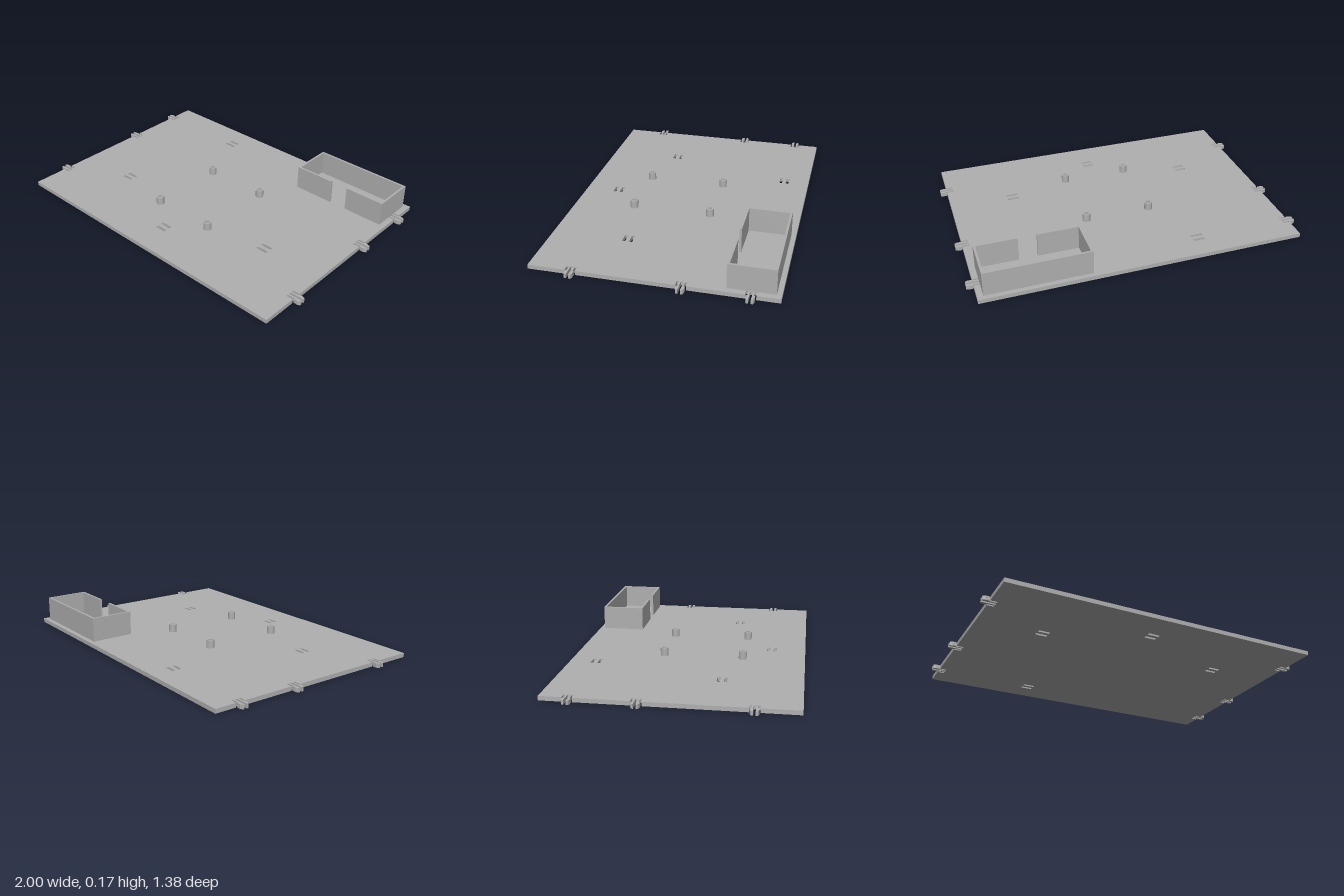
import * as THREE from 'three';

const T = 0.025; // plate thickness
const CLIP_Z = [-0.533, -0.165, 0.447];

const loop = (points) => points.map(([x, z]) => new THREE.Vector2(x, -z));

// Extrude a floor-plan shape (x, -z) upward from height y
function slab(shape, height, y = 0) {
  return new THREE.ExtrudeGeometry(shape, { depth: height, bevelEnabled: false, curveSegments: 8 })
    .rotateX(-Math.PI / 2).translate(0, y, 0);
}

// Round-cornered slot outline centred on (x, z)
function slotPath(x, z, hw = 0.035, hh = 0.009, r = 0.005) {
  const p = new THREE.Path(), y = -z;
  p.moveTo(x - hw + r, y - hh);
  p.lineTo(x + hw - r, y - hh);
  p.absarc(x + hw - r, y - hh + r, r, -Math.PI / 2, 0);
  p.absarc(x + hw - r, y + hh - r, r, 0, Math.PI / 2);
  p.absarc(x - hw + r, y + hh - r, r, Math.PI / 2, Math.PI);
  p.absarc(x - hw + r, y - hh + r, r, Math.PI, Math.PI * 1.5);
  p.closePath();
  return p;
}

export function createModel() {
  const model = new THREE.Group();
  model.name = 'mountingPlate';
  const grey = new THREE.MeshStandardMaterial({ color: 0xb0b0b0 });
  grey.name = 'grey plastic';

  const add = (name, geometry, parent = model) => {
    const mesh = new THREE.Mesh(geometry, grey);
    mesh.name = name;
    parent.add(mesh);
    return mesh;
  };

  // Base plate with clip notches along both sides
  const W = 0.96, D = 0.69, IN = 0.92, N = 0.029;
  const notches = (s, zs) => zs.flatMap((z) => {
    const d = s * N;
    return [[s * W, z + d], [s * IN, z + d], [s * IN, z - d], [s * W, z - d]];
  });
  const plate = new THREE.Shape(loop([
    [-W, D], [W, D], ...notches(1, [...CLIP_Z].reverse()),
    [W, -D], [-W, -D], ...notches(-1, CLIP_Z),
  ]));
  // Pairs of tie slots
  for (const [x, z] of [[-0.367, -0.533], [-0.572, 0.24], [0.57, 0.24], [0, 0.485]]) {
    for (const s of [-1, 1]) plate.holes.push(slotPath(x, z + s * 0.0205));
  }
  add('basePlate', slab(plate, T));

  // Snap clips: two hooked arms in every notch
  for (const sx of [-1, 1]) {
    for (const z of CLIP_Z) {
      const clip = new THREE.Group();
      clip.name = sx > 0 ? 'leftClip' : 'rightClip';
      model.add(clip);
      for (const sz of [-1, 1]) {
        const arm = [[0.915, 0.007], [1, 0.007], [1, 0.018], [0.985, 0.024],
          [0.962, 0.024], [0.962, 0.017], [0.915, 0.017]];
        const outline = arm.map(([x, dz]) => [sx * x, z + sz * dz]);
        add('clipArm', slab(new THREE.Shape(loop(outline)), T), clip);
      }
    }
  }

  // Hollow mounting posts
  const R = 0.024, r = 0.013, top = 0.074;
  const profile = [[R, T], [R, top], [R, top], [r, top], [r, top], [r, T]]
    .map(([x, y]) => new THREE.Vector2(x, y));
  for (const x of [-0.2, 0.2]) {
    for (const z of [-0.155, 0.32]) {
      const post = add('post', new THREE.LatheGeometry(profile.slice().reverse(), 24));
      post.position.set(x, 0, z);
      post.geometry.dispose();
      const ring = new THREE.Shape().absarc(0, 0, R, 0, Math.PI * 2);
      ring.holes.push(new THREE.Path().absarc(0, 0, r, 0, Math.PI * 2));
      post.geometry = slab(ring, top - T, T);
    }
  }

  // Open-topped bay with a gap in its front wall
  const x0 = 0.31, x1 = 0.925, z0 = -0.662, z1 = -0.4, t = 0.013, g0 = 0.565, g1 = 0.675;
  const bay = new THREE.Shape(loop([
    [g0, z1], [x0, z1], [x0, z0], [x1, z0], [x1, z1], [g1, z1], [g1, z1 - t],
    [x1 - t, z1 - t], [x1 - t, z0 + t], [x0 + t, z0 + t], [x0 + t, z1 - t], [g0, z1 - t],
  ]));
  add('bayWalls', slab(bay, 0.172 - T, T));

  return model;
}
